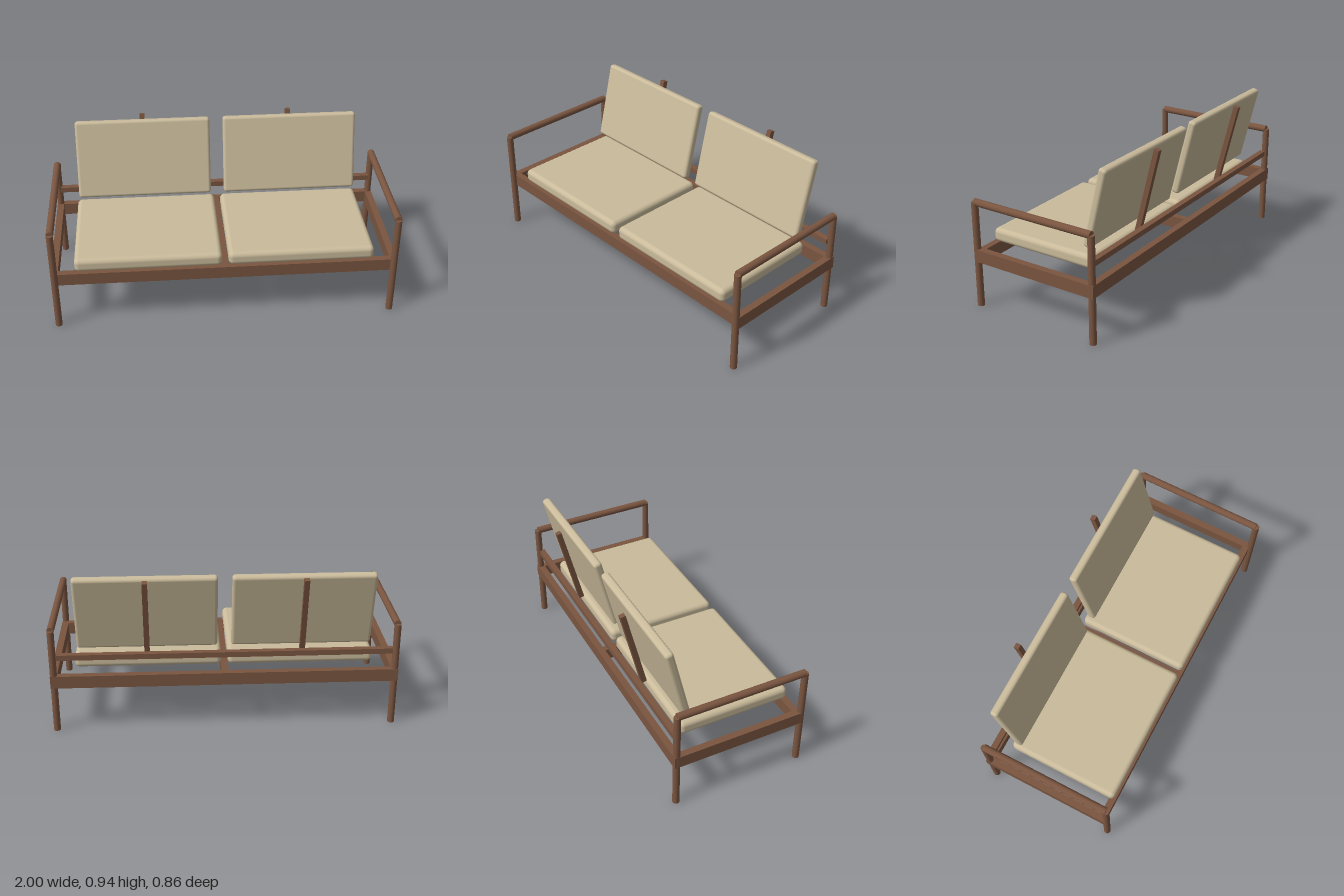
import * as THREE from 'three';
import { RoundedBoxGeometry } from 'three/addons/geometries/RoundedBoxGeometry.js';

export function createModel() {
  const group = new THREE.Group();
  const wood = new THREE.MeshStandardMaterial({ color: 0x7a5540 });
  wood.name = 'brown wood';
  const fabric = new THREE.MeshStandardMaterial({ color: 0xcabb9b });
  fabric.name = 'beige fabric';

  const add = (name, geometry, material, x, y, z, tilt = 0) => {
    const mesh = new THREE.Mesh(geometry, material);
    mesh.name = name;
    mesh.position.set(x, y, z);
    mesh.rotation.x = tilt;
    group.add(mesh);
  };
  const box = (w, h, d) => new THREE.BoxGeometry(w, h, d);

  const sideX = 0.98, frontZ = 0.414, backZ = -0.36;
  const midZ = (frontZ + backZ) / 2, span = frontZ - backZ;
  const railY = 0.315, railH = 0.074;
  const lean = -0.238;

  // Long rails, back bar and centre support
  add('frontRail', box(1.998, railH, 0.04), wood, 0, railY, 0.387);
  add('backRail', box(1.998, railH, 0.04), wood, 0, railY, backZ);
  add('backBar', box(1.94, 0.032, 0.035), wood, 0, 0.462, -0.348);
  add('centreSupport', box(0.04, railH - 0.004, 0.73), wood, 0, railY, 0.015);

  for (const [side, s] of [['left', 1], ['right', -1]]) {
    // Round legs and armrest, with the side rail between the legs
    const leg = new THREE.CylinderGeometry(0.02, 0.02, 0.628, 32);
    add(side + 'FrontLeg', leg, wood, s * sideX, 0.314, frontZ);
    add(side + 'BackLeg', leg, wood, s * sideX, 0.314, backZ);
    const arm = new THREE.CylinderGeometry(0.021, 0.021, span, 32);
    add(side + 'Armrest', arm, wood, s * (sideX - 0.001), 0.629, midZ, Math.PI / 2);
    add(side + 'SideRail', box(0.04, railH, span), wood, s * sideX, railY, midZ);

    // Leaning slat behind each back cushion
    add(side + 'BackSlat', box(0.03, 0.514, 0.031), wood, s * 0.445, 0.683, -0.355, lean);

    // Cushions
    add(side + 'SeatCushion', new RoundedBoxGeometry(0.845, 0.082, 0.673, 5, 0.028),
      fabric, s * 0.441, 0.394, 0.061);
    add(side + 'BackCushion', new RoundedBoxGeometry(0.81, 0.477, 0.05, 5, 0.018),
      fabric, s * 0.445, 0.7025, -0.284, lean);
  }
  return group;
}
